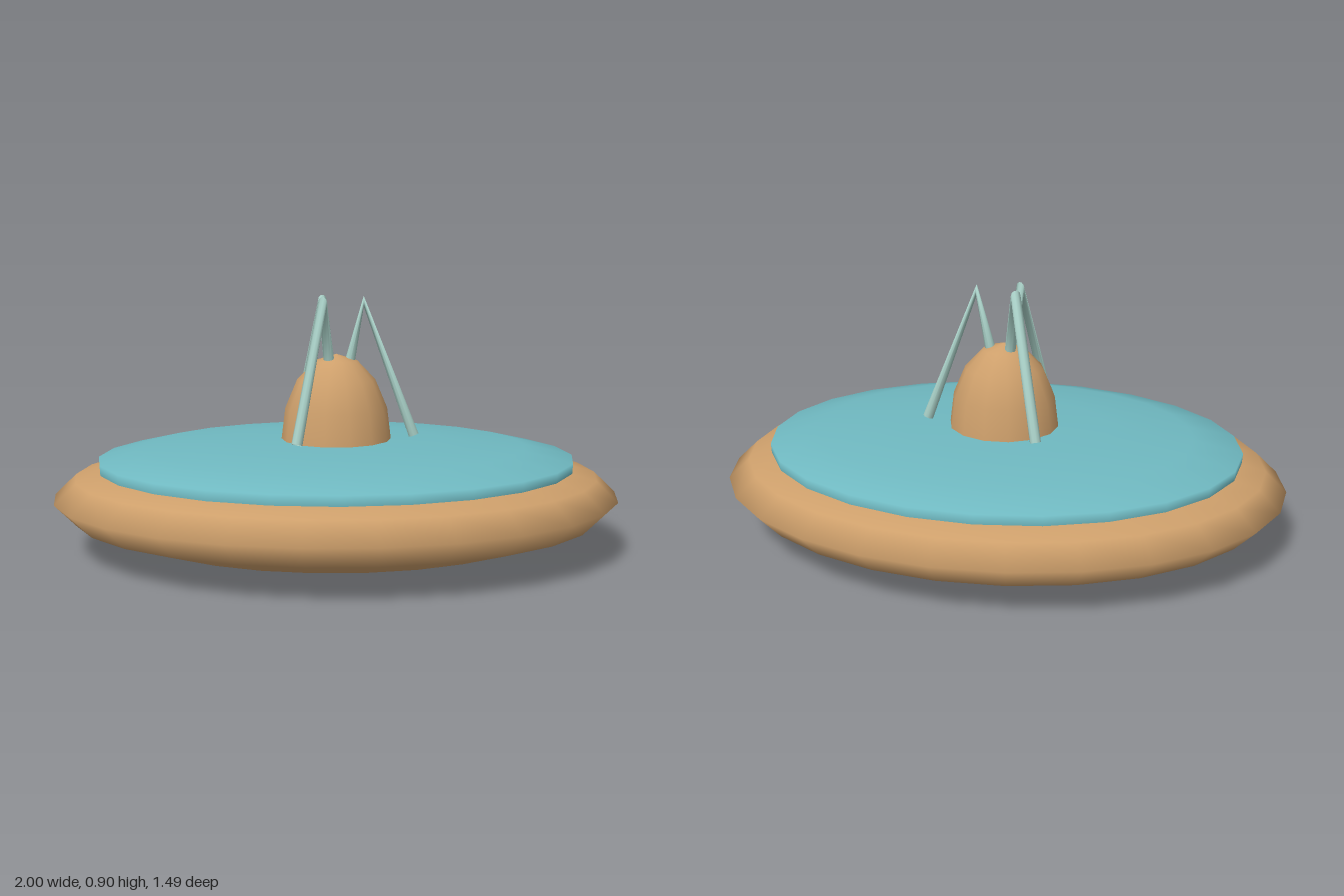
import * as THREE from 'three';

const mat = (name, color) => {
  const m = new THREE.MeshStandardMaterial({ color, side: THREE.DoubleSide });
  m.name = name;
  return m;
};

// Lathe with a vertex on +x, squashed in z to an oval
function ovalLathe(name, profile, segments, depth, material) {
  const pts = profile.map(([r, y]) => new THREE.Vector2(r, y));
  const geo = new THREE.LatheGeometry(pts, segments, Math.PI / 2);
  geo.scale(1, 1, depth);
  const mesh = new THREE.Mesh(geo, material);
  mesh.name = name;
  return mesh;
}

// Two straight runs meeting at a sharp apex, with a level tangent there
class BentPath extends THREE.Curve {
  constructor(foot, apex, end) {
    super();
    this.p = [foot, apex, end];
  }
  getPoint(t) {
    const [a, b, c] = this.p;
    return t < 0.5 ? a.clone().lerp(b, t * 2) : b.clone().lerp(c, t * 2 - 1);
  }
  getPointAt(t) { return this.getPoint(t); }
  getTangentAt(t) {
    const [a, b, c] = this.p;
    const up = b.clone().sub(a).normalize();
    const down = c.clone().sub(b).normalize();
    if (t < 0.49) return up;
    if (t > 0.51) return down;
    return up.add(down).setY(0).normalize();
  }
}

export function createModel() {
  const group = new THREE.Group();
  const tan = mat('tan', 0xcd9f6b);
  const teal = mat('teal', 0x6fb8c0);
  const pale = mat('pale green', 0xa8cfc6);

  // Lower hull: faceted oval bowl with a shallow shoulder
  const hull = [];
  for (let i = 0; i <= 4; i++) {
    const a = (i * Math.PI) / 8;
    hull.push([Math.sin(a), 0.2 - 0.2 * Math.cos(a)]);
  }
  hull.push([0.924, 0.273], [0.82, 0.302], [0.7, 0.315]);
  group.add(ovalLathe('hull', hull, 26, 0.75, tan));

  // Upper deck: low dome with a short upright rim and flat underside
  group.add(ovalLathe('deck',
    [[0.84, 0.3], [0.842, 0.335], [0.67, 0.375], [0.37, 0.396], [0, 0.402]], 24, 0.75, teal));
  group.add(ovalLathe('deckUnderside', [[0, 0.3], [0.84, 0.3]], 24, 0.75, teal));

  // Cabin dome
  const dome = [];
  for (let i = 0; i <= 4; i++) {
    const a = (i * Math.PI) / 8;
    dome.push([0.195 * Math.cos(a), 0.39 + 0.31 * Math.sin(a)]);
  }
  dome[4][0] = 0;
  group.add(ovalLathe('cabinDome', dome, 14, 0.93, tan));

  // Three bent struts around the dome: [x, z] of foot, apex and inner end
  const struts = [
    [[0.275, 0], [0.096, 0], [0.045, 0]],
    [[-0.138, 0.193], [-0.048, 0.057], [-0.024, 0.03]],
    [[-0.138, -0.193], [-0.048, -0.057], [-0.024, -0.03]],
  ];
  const heights = [0.41, 0.884, 0.66];
  for (const s of struts) {
    const pts = s.map(([x, z], i) => new THREE.Vector3(x, heights[i], z));
    const mesh = new THREE.Mesh(new THREE.TubeGeometry(new BentPath(...pts), 2, 0.019, 10), pale);
    mesh.name = 'strut';
    group.add(mesh);
  }
  return group;
}
